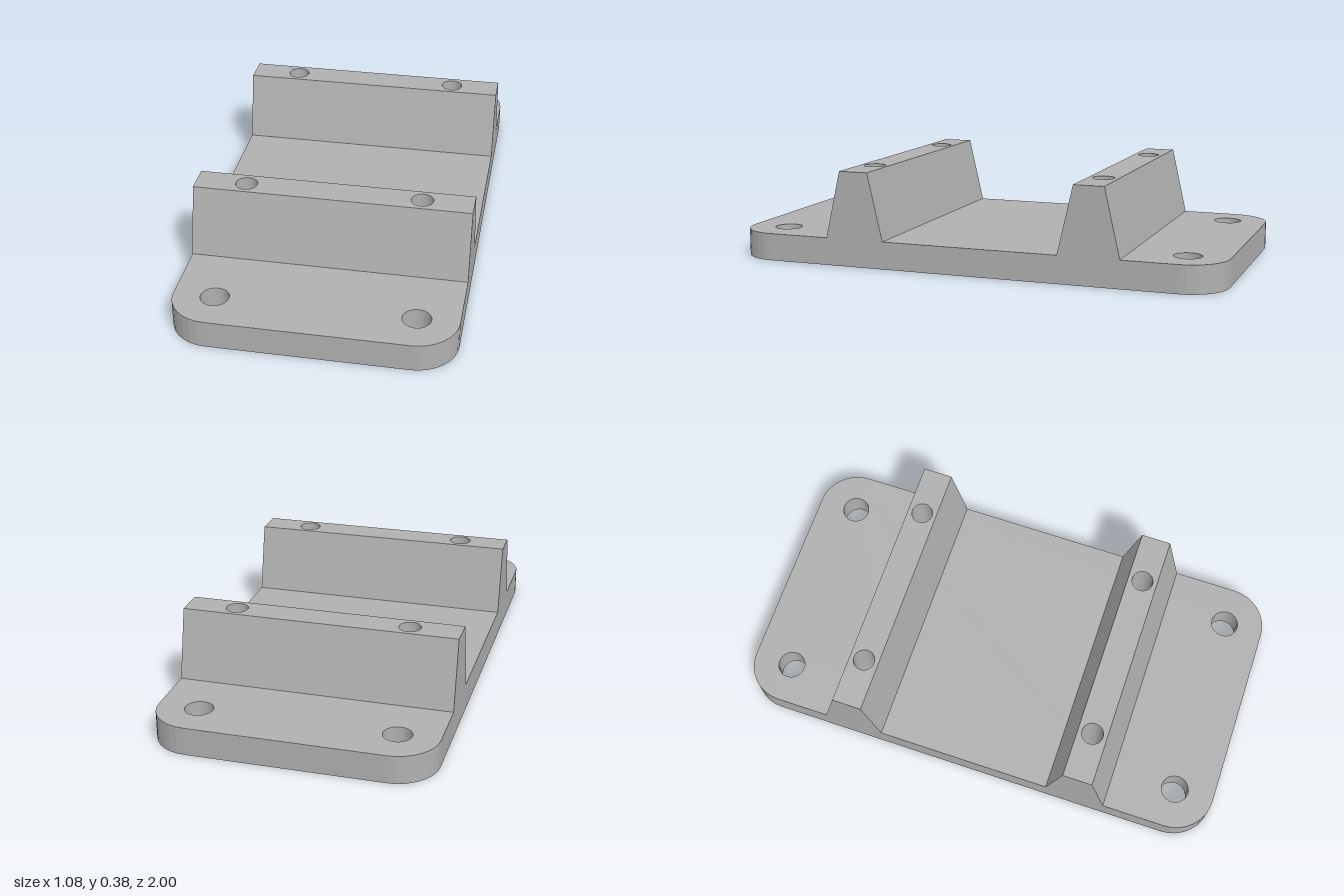
import * as THREE from 'three';

const HALF_WIDTH = 0.54, HALF_LENGTH = 1, BASE_HEIGHT = 0.11, TOP = 0.38;
const RIDGE_Z = [0.46, -0.5];
const PIN_X = 0.342, PIN_RADIUS = 0.043;

// Points along an arc in plan
function arc(x, y, radius, start, sweep, steps) {
  const points = [];
  for (let i = 0; i <= steps; i++) {
    const a = start + (sweep * i) / steps;
    points.push(new THREE.Vector2(x + radius * Math.cos(a), y + radius * Math.sin(a)));
  }
  return points;
}

function addHole(shape, x, z, radius) {
  const points = arc(x, -z, radius, 0, -Math.PI * 2, 32);
  points.pop();
  shape.holes.push(new THREE.Path(points));
}

// Extrude a plan shape straight up from y = 0
function extrudeUp(shape, height) {
  const geometry = new THREE.ExtrudeGeometry(shape, { depth: height, bevelEnabled: false });
  return geometry.rotateX(-Math.PI / 2);
}

// Rounded plate with corner bolt holes and the through pin holes
function basePlate() {
  const r = 0.16, x = HALF_WIDTH - r, y = HALF_LENGTH - r;
  const corners = [[x, y], [-x, y], [-x, -y], [x, -y]];
  const outline = corners.flatMap(([cx, cy], i) => arc(cx, cy, r, (i * Math.PI) / 2, Math.PI / 2, 8));
  const shape = new THREE.Shape(outline);
  for (const sx of [-1, 1]) for (const sz of [-1, 1]) addHole(shape, sx * 0.38, sz * 0.84, 0.055);
  for (const z of RIDGE_Z) addHole(shape, -PIN_X, z, PIN_RADIUS);
  return extrudeUp(shape, BASE_HEIGHT);
}

// Cross rail with two pin holes, its foot spread wider than its top
function ridge() {
  const top = 0.06, foot = 0.122, w = HALF_WIDTH;
  const shape = new THREE.Shape([[-w, -top], [w, -top], [w, top], [-w, top]].map(p => new THREE.Vector2(...p)));
  for (const side of [-1, 1]) addHole(shape, side * PIN_X, 0, PIN_RADIUS);
  const geometry = extrudeUp(shape, TOP - BASE_HEIGHT);
  const p = geometry.attributes.position;
  for (let i = 0; i < p.count; i++) {
    if (p.getY(i) < 0.001 && Math.abs(p.getZ(i)) > top - 0.001) p.setZ(i, Math.sign(p.getZ(i)) * foot);
  }
  geometry.computeVertexNormals();
  return geometry;
}

export function createModel() {
  const model = new THREE.Group();
  model.name = 'mountingBracket';
  const grey = new THREE.MeshStandardMaterial({ color: 0xb0b0b0 });
  grey.name = 'plain grey';

  const base = new THREE.Mesh(basePlate(), grey);
  base.name = 'basePlate';
  model.add(base);

  const ridgeGeometry = ridge();
  RIDGE_Z.forEach((z, i) => {
    const rail = new THREE.Mesh(ridgeGeometry, grey);
    rail.name = i === 0 ? 'frontRidge' : 'backRidge';
    rail.position.set(0, BASE_HEIGHT, z);
    model.add(rail);
  });
  return model;
}
